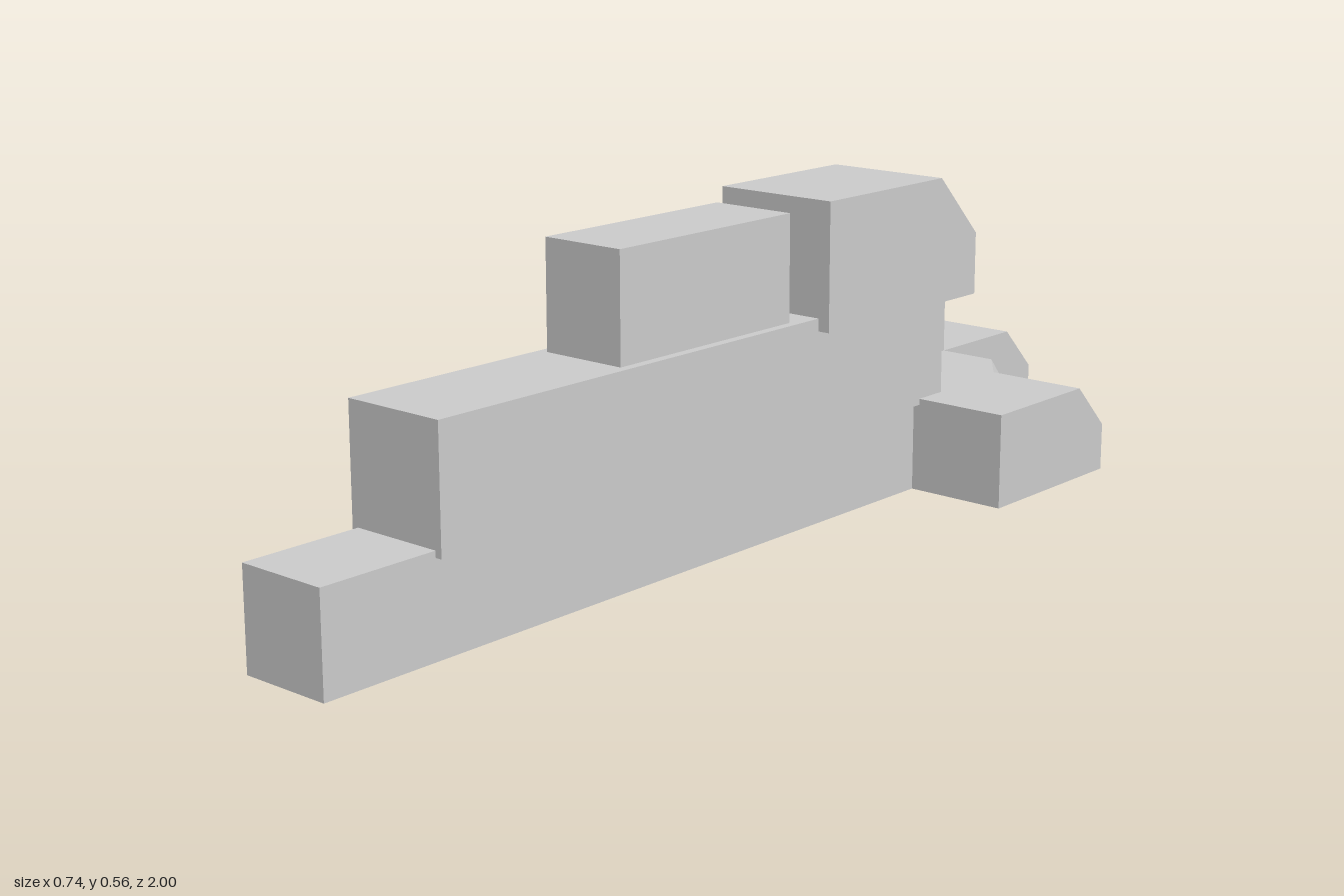
import * as THREE from 'three';
import { ConvexGeometry } from 'three/addons/geometries/ConvexGeometry.js';

const material = new THREE.MeshStandardMaterial({ color: 0xcccccc, flatShading: true });

// Plain block given by its limits on each axis
function block(name, [x0, x1], [y0, y1], [z0, z1]) {
  const mesh = new THREE.Mesh(new THREE.BoxGeometry(x1 - x0, y1 - y0, z1 - z0), material);
  mesh.name = name;
  mesh.position.set((x0 + x1) / 2, (y0 + y1) / 2, (z0 + z1) / 2);
  return mesh;
}

// Block whose top back edge is cut off, from zCut on the top down to yCut on the back
function slopedBlock(name, [x0, x1], [y0, y1], [zBack, zFront], zCut, yCut) {
  const profile = new THREE.Shape([
    new THREE.Vector2(-zFront, y0),
    new THREE.Vector2(-zBack, y0),
    new THREE.Vector2(-zBack, yCut),
    new THREE.Vector2(-zCut, y1),
    new THREE.Vector2(-zFront, y1),
  ]);
  const geometry = new THREE.ExtrudeGeometry(profile, { depth: x1 - x0, bevelEnabled: false });
  geometry.rotateY(Math.PI / 2); // profile runs along -z, depth along +x
  const mesh = new THREE.Mesh(geometry, material);
  mesh.name = name;
  mesh.position.x = x0;
  return mesh;
}

export function createModel() {
  const group = new THREE.Group();
  const top = 0.168; // height of the lowest layer

  // Long body: lower beam, wider upper beam and the raised block
  group.add(
    block('lowerBeam', [0.015, 0.181], [0, top], [-0.38, 1]),
    block('upperBeam', [0.003, 0.193], [0.157, 0.363], [-0.435, 0.785]),
    block('raisedBlock', [0.02, 0.177], [0.363, 0.547], [-0.02, 0.39]),
    slopedBlock('cabin', [-0.018, 0.215], [0.341, 0.563], [-0.5, -0.078], -0.392, 0.452),
  );

  // Crosswise base with its side arms and tail
  group.add(
    block('rightArm', [-0.368, -0.2], [0, top], [-0.702, -0.38]),
    slopedBlock('leftArm', [0.181, 0.367], [0, top], [-0.702, -0.37], -0.62, 0.085),
    slopedBlock('tail', [-0.2, 0.01], [0, top], [-1, -0.702], -0.918, 0.085),
    block('rearBlock', [-0.2, 0.01], [top, 0.341], [-0.702, -0.38]),
  );

  // Middle of the base, with a small cut corner beside the left arm's slope
  const corners = [[0.181, top, -0.62], [0.12, top, -0.702], [0.181, 0.085, -0.702],
    [0.181, 0, -0.702], [-0.2, top, -0.702], [-0.2, 0, -0.702]];
  for (const x of [-0.2, 0.181]) for (const y of [0, top]) corners.push([x, y, -0.375]);
  const middle = new THREE.Mesh(
    new ConvexGeometry(corners.map((c) => new THREE.Vector3(...c))), material);
  middle.name = 'baseMiddle';
  group.add(middle);

  return group;
}
